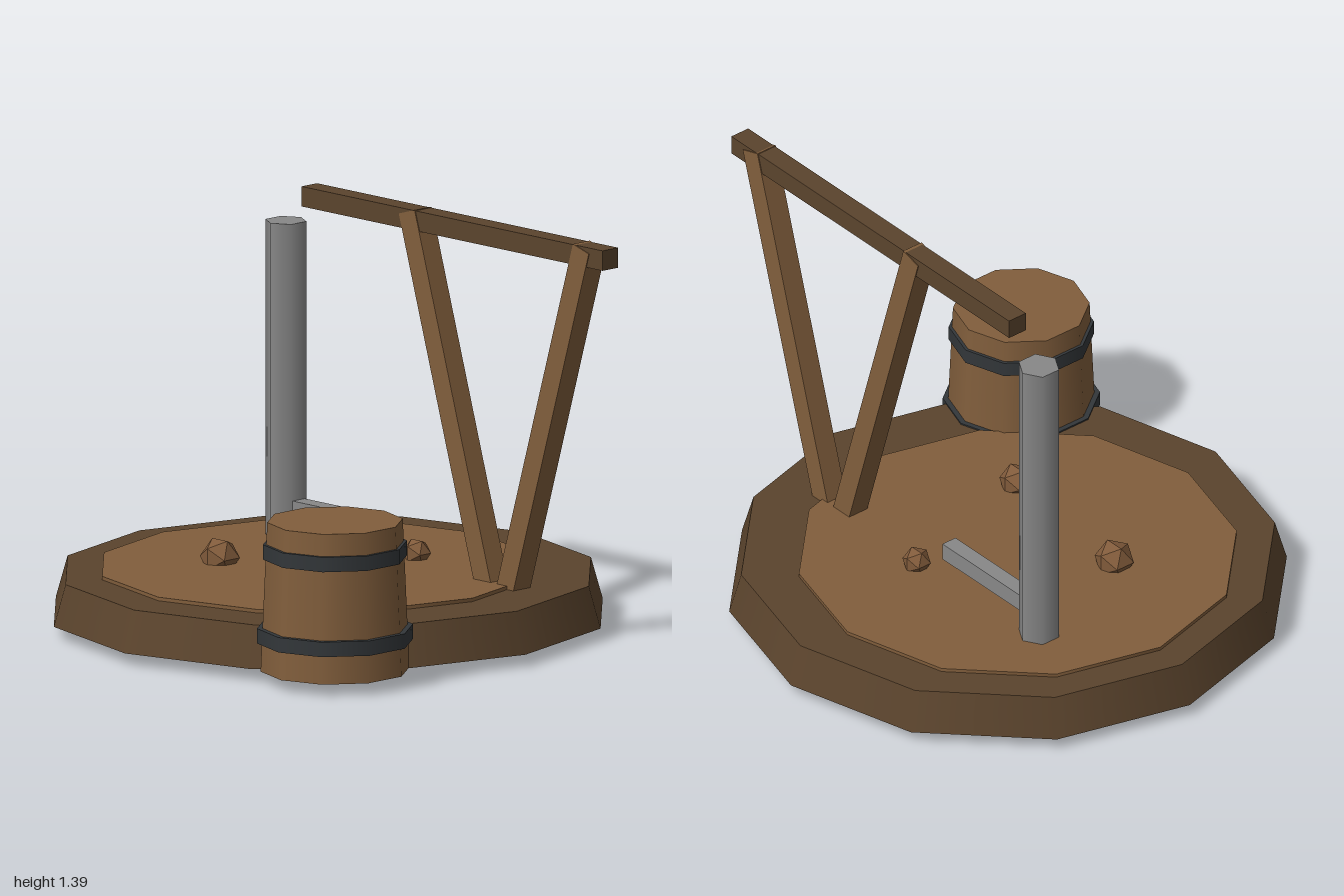
import * as THREE from 'three';

export function createModel() {
  const model = new THREE.Group();
  const mat = (name, color, flatShading = false) => {
    const m = new THREE.MeshStandardMaterial({ color, flatShading });
    m.name = name;
    return m;
  };
  const darkWood = mat('darkWood', 0x5b442d);
  const wood = mat('wood', 0x815e3c);
  const stoneBrown = mat('stoneBrown', 0x815b3b, true);
  const grey = mat('grey', 0x888888);
  const iron = mat('iron', 0x33373a);

  const add = (name, geometry, material, x, y, z, parent = model) => {
    const mesh = new THREE.Mesh(geometry, material);
    mesh.name = name;
    mesh.position.set(x, y, z);
    parent.add(mesh);
    return mesh;
  };
  // Cylinder given by its bottom and top heights
  const drum = (name, rTop, rBottom, y0, y1, sides, material, x, z, parent) =>
    add(name, new THREE.CylinderGeometry(rTop, rBottom, y1 - y0, sides), material, x, (y0 + y1) / 2, z, parent);

  // Twelve-sided ground slab with an off-centre floor on top
  drum('base', 0.89, 0.93, 0.04, 0.18, 12, darkWood, -0.07, 0);
  drum('floor', 0.73, 0.73, 0.17, 0.192, 12, wood, -0.12, 0);

  // Post with its side arm
  const z = -0.253;
  drum('post', 0.07, 0.07, 0.19, 1.25, 6, grey, -0.53, z);
  add('postArm', new THREE.BoxGeometry(0.42, 0.06, 0.056), grey, -0.28, 0.29, z);

  // Beam carried by two struts that meet at the ground
  add('beam', new THREE.BoxGeometry(1.42, 0.067, 0.072), darkWood, 0.29, 1.352, z);
  for (const side of [-1, 1]) {
    const strut = add('strut', new THREE.BoxGeometry(0.078, 1.426, 0.078), wood, 0.49 + side * 0.206, 0.694, z);
    strut.rotation.z = -side * 0.291;
  }

  // Tapered barrel with two hoops
  const barrel = new THREE.Group();
  barrel.name = 'barrel';
  barrel.position.set(0.59, 0, 0.61);
  model.add(barrel);
  drum('barrelBody', 0.225, 0.247, 0.04, 0.54, 10, wood, 0, 0, barrel);
  drum('upperHoop', 0.239, 0.239, 0.416, 0.466, 10, iron, 0, 0, barrel);
  drum('lowerHoop', 0.259, 0.259, 0.135, 0.185, 10, iron, 0, 0, barrel);

  // Loose lumps on the floor: radius, x, y, z
  for (const [r, x, y, sz] of [[0.068, -0.375, 0.21, 0.2], [0.06, 0.184, 0.211, 0.25], [0.049, 0.032, 0.212, -0.306]])
    add('lump', new THREE.IcosahedronGeometry(r, 0), stoneBrown, x, y, sz);

  return model;
}
